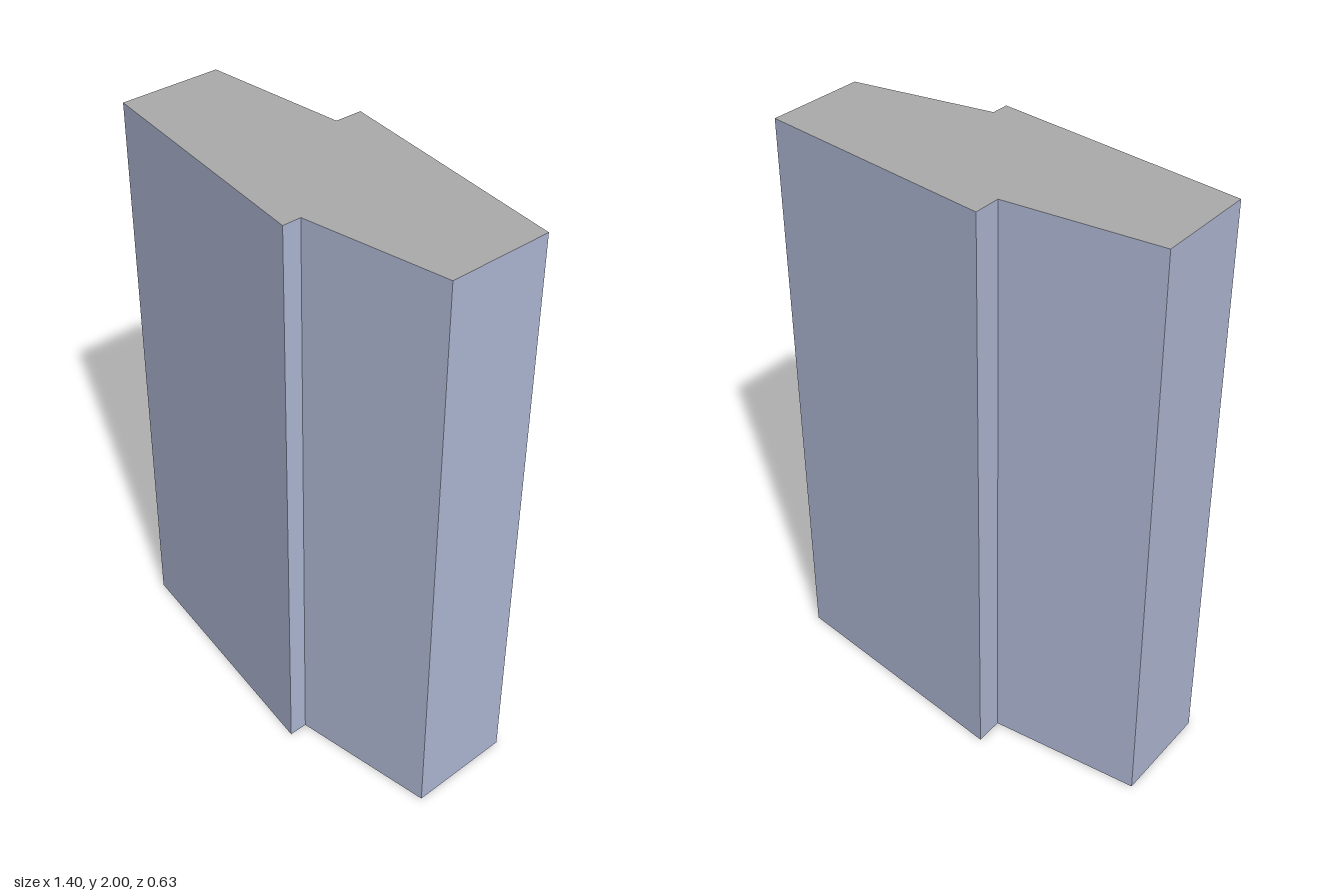
import * as THREE from 'three';
import { mergeGeometries } from 'three/addons/utils/BufferGeometryUtils.js';

const HEIGHT = 2;

// Plan outline as [x, z], running left to right along the front, then back
const OUTLINE = [
  [-0.7, 0.18], [0.2, 0.315], [0.2, 0.25], [0.7, 0.18],
  [0.7, -0.185], [-0.17, -0.318], [-0.17, -0.22], [-0.7, -0.185],
];

function doubleSided(name, color) {
  const material = new THREE.MeshStandardMaterial({ color, side: THREE.DoubleSide });
  material.name = name;
  return material;
}

// One upright panel between two plan points, facing outwards
function wallPanel([x0, z0], [x1, z1]) {
  const dx = x1 - x0, dz = z1 - z0;
  return new THREE.PlaneGeometry(Math.hypot(dx, dz), HEIGHT)
    .rotateY(Math.atan2(-dz, dx))
    .translate((x0 + x1) / 2, HEIGHT / 2, (z0 + z1) / 2);
}

export function createModel() {
  const group = new THREE.Group();
  group.name = 'steppedBlock';

  // Outer walls, left open at the bottom
  const panels = OUTLINE.map((p, i) => wallPanel(p, OUTLINE[(i + 1) % OUTLINE.length]));
  const walls = new THREE.Mesh(mergeGeometries(panels), doubleSided('blueGrey', 0xaeb7d3));
  walls.name = 'walls';
  group.add(walls);

  // Flat light top, with a dark ceiling just beneath it
  const plan = new THREE.Shape(OUTLINE.map(([x, z]) => new THREE.Vector2(x, -z)));
  const sheet = new THREE.ShapeGeometry(plan).rotateX(-Math.PI / 2);
  const top = new THREE.Mesh(sheet, doubleSided('lightGrey', 0xabababab & 0xffffff));
  top.name = 'top';
  top.position.y = HEIGHT;
  const ceiling = new THREE.Mesh(sheet, doubleSided('darkGrey', 0x545454));
  ceiling.name = 'ceiling';
  ceiling.position.y = HEIGHT - 0.003;
  group.add(top, ceiling);

  return group;
}
